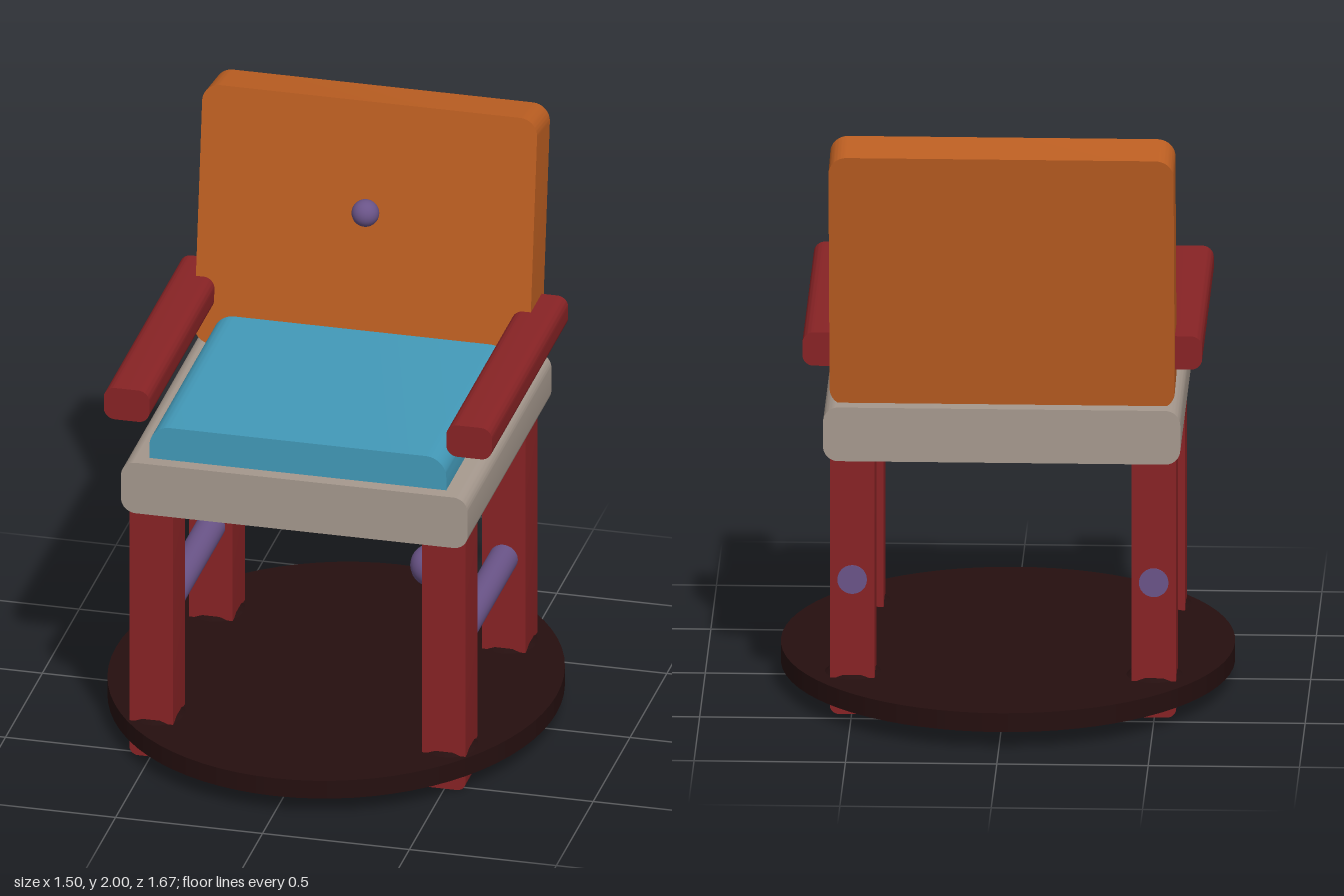
import * as THREE from 'three';
import { toCreasedNormals } from 'three/addons/utils/BufferGeometryUtils.js';

const material = (name, color) => {
  const m = new THREE.MeshStandardMaterial({ color });
  m.name = name;
  return m;
};

// Rectangle with separate top and bottom corner radii, centred on the origin
function roundedRect(w, h, top, bottom = top) {
  const s = new THREE.Shape();
  const x = w / 2, y = h / 2;
  s.moveTo(-x + bottom, -y);
  s.lineTo(x - bottom, -y);
  if (bottom) s.absarc(x - bottom, -y + bottom, bottom, -Math.PI / 2, 0, false);
  s.lineTo(x, y - top);
  if (top) s.absarc(x - top, y - top, top, 0, Math.PI / 2, false);
  s.lineTo(-x + top, y);
  if (top) s.absarc(-x + top, y - top, top, Math.PI / 2, Math.PI, false);
  s.lineTo(-x, -y + bottom);
  if (bottom) s.absarc(-x + bottom, -y + bottom, bottom, Math.PI, Math.PI * 1.5, false);
  return s;
}

// Rounded profile extruded along z, centred on the origin
function slab(w, h, d, top, bottom) {
  const g = new THREE.ExtrudeGeometry(roundedRect(w, h, top, bottom), {
    depth: d, bevelEnabled: false, curveSegments: 8,
  });
  g.translate(0, 0, -d / 2);
  return toCreasedNormals(g, 0.6);
}

export function createModel() {
  const group = new THREE.Group();
  group.name = 'chair';

  const orange = material('orange', 0xbd5f22);
  const blue = material('blue', 0x439ab9);
  const grey = material('warm grey', 0xa6998e);
  const red = material('dark red', 0x882325);
  const purple = material('purple', 0x6a5488);
  const dark = material('dark brown', 0x250f0f);

  const add = (name, geometry, mat, x, y, z) => {
    const mesh = new THREE.Mesh(geometry, mat);
    mesh.name = name;
    mesh.position.set(x, y, z);
    group.add(mesh);
    return mesh;
  };

  // Seat, cushion and leaning back
  add('seat', slab(1.18, 0.185, 1.135, 0.05), grey, 0, 1.005, 0);
  add('cushion', slab(1.01, 0.125, 0.93, 0.07, 0), blue, 0, 1.1525, 0.055);
  const back = add('back', slab(1.14, 0.9, 0.175, 0.06), orange, 0, 1.545, -0.486);
  back.rotation.x = -0.139;
  add('backButton', new THREE.SphereGeometry(0.046, 24, 16), purple, 0, 1.625, -0.396);

  // Oval base plate
  const base = add('basePlate', new THREE.CylinderGeometry(1, 1, 0.065, 72), dark, 0, 0.0975, 0);
  base.scale.set(0.75, 1, 0.835);

  const collar = new THREE.LatheGeometry(
    [[0, 0.055], [0.08, 0.055], [0.093, 0.065], [0.093, 0.13], [0.08, 0.14], [0, 0.14]]
      .map(([r, y]) => new THREE.Vector2(r, y)), 32);
  const collarGeometry = toCreasedNormals(collar, 0.5);
  const legGeometry = slab(0.148, 0.95, 0.165, 0.03);
  const armGeometry = slab(0.155, 0.115, 1.035, 0.038);
  const rodGeometry = new THREE.CylinderGeometry(0.049, 0.049, 0.86, 24);
  rodGeometry.rotateX(Math.PI / 2);

  for (const [side, name] of [[1, 'left'], [-1, 'right']]) {
    // Legs with collars where they pass through the base
    for (const [z, end] of [[0.4425, 'Front'], [-0.3675, 'Back']]) {
      add(`${name}${end}Leg`, legGeometry, red, side * 0.498, 0.48, z);
      add(`${name}${end}Collar`, collarGeometry, dark, side * 0.498, 0, z).scale.z = 1.11;
    }
    // Armrest and the rod joining the legs
    add(`${name}Armrest`, armGeometry, red, side * 0.583, 1.2825, 0.0025);
    add(`${name}Rod`, rodGeometry, purple, side * 0.498, 0.47, -0.025);
  }

  // Knob on the inner corner of one front leg
  add('legKnob', new THREE.SphereGeometry(0.072, 24, 16), purple, 0.422, 0.75, 0.384);

  return group;
}
